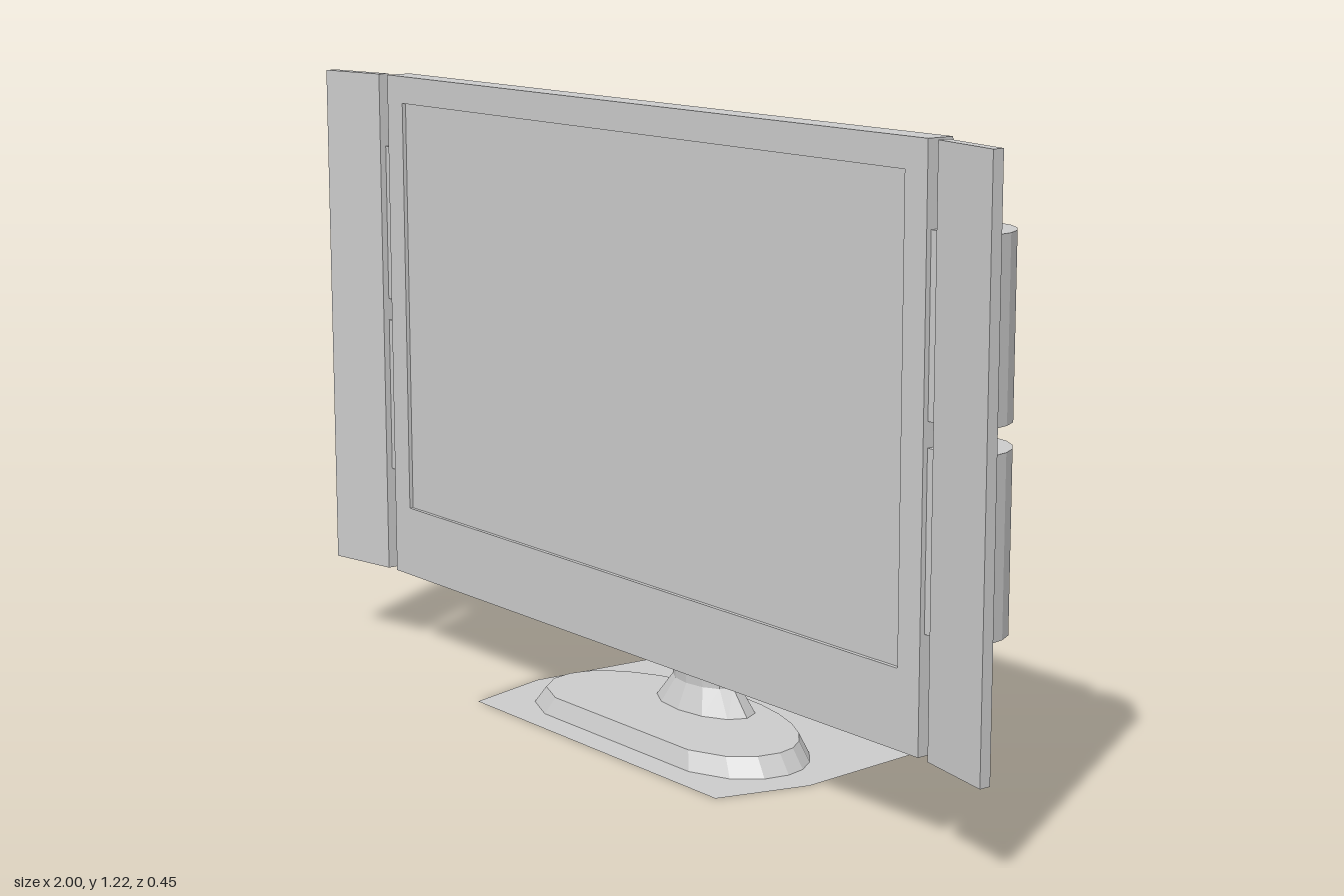
import * as THREE from 'three';

const material = new THREE.MeshStandardMaterial({ color: 0xcccccc, flatShading: true });
const thinMaterial = new THREE.MeshStandardMaterial({ color: 0xcccccc, flatShading: true, side: THREE.DoubleSide });

// Skin between rings of [x, y, z] points (counter-clockwise seen from the last ring), capped at both ends
function loft(rings) {
  const n = rings[0].length, pos = [];
  const tri = (a, b, c) => pos.push(...a, ...b, ...c);
  for (let r = 0; r < rings.length - 1; r++) {
    const a = rings[r], b = rings[r + 1];
    for (let i = 0; i < n; i++) {
      const j = (i + 1) % n;
      tri(a[i], a[j], b[j]);
      tri(a[i], b[j], b[i]);
    }
  }
  const first = rings[0], last = rings[rings.length - 1];
  for (let i = 1; i < n - 1; i++) {
    tri(first[0], first[i + 1], first[i]);
    tri(last[0], last[i], last[i + 1]);
  }
  const g = new THREE.BufferGeometry();
  g.setAttribute('position', new THREE.Float32BufferAttribute(pos, 3));
  g.computeVertexNormals();
  return g;
}

// Rectangle facing the back, for the tapered housings
const backRect = (w, y0, y1, z) => [[w, y0, z], [-w, y0, z], [-w, y1, z], [w, y1, z]];

// Plan outline [x, z] extruded upward from y0 to y1
function prism(points, y0, y1) {
  const shape = new THREE.Shape(points.map(([x, z]) => new THREE.Vector2(x, -z)));
  const g = new THREE.ExtrudeGeometry(shape, { depth: y1 - y0, bevelEnabled: false });
  return g.rotateX(-Math.PI / 2).translate(0, y0, 0);
}

function rectPath(path, w, y0, y1) {
  path.moveTo(-w, y0);
  path.lineTo(w, y0);
  path.lineTo(w, y1);
  path.lineTo(-w, y1);
  path.closePath();
  return path;
}

export function createModel() {
  const group = new THREE.Group();
  const add = (name, geometry, mat = material) => {
    const mesh = new THREE.Mesh(geometry, mat);
    mesh.name = name;
    group.add(mesh);
  };

  // Screen frame with slightly recessed display
  const frame = rectPath(new THREE.Shape(), 0.815, 0.17, 1.22);
  frame.holes.push(rectPath(new THREE.Path(), 0.76, 0.315, 1.165));
  add('screenFrame', new THREE.ExtrudeGeometry(frame, { depth: 0.055, bevelEnabled: false }).translate(0, 0, 0.075));
  add('display', new THREE.BoxGeometry(1.52, 0.85, 0.047).translate(0, 0.74, 0.0985));

  // Tapered rear housing and its raised centre
  add('rearHousing', loft([backRect(0.815, 0.26, 1.22, 0.075), backRect(0.79, 0.32, 1.135, 0.035)]));
  add('rearBulge', loft([backRect(0.43, 0.56, 0.975, 0.035), backRect(0.35, 0.615, 0.93, -0.03)]));

  // Angled side panels with two rounded pods behind each
  for (const side of [1, -1]) {
    const name = side > 0 ? 'left' : 'right';
    const panel = [[0.842, 0.11], [1, 0.14], [1, 0.163], [0.842, 0.133]];
    const pod = [];
    for (let i = 0; i <= 10; i++) {
      const t = (i / 10) * Math.PI;
      pod.push([0.82 + 0.107 * Math.cos(t), 0.075 - 0.105 * Math.sin(t)]);
    }
    pod.push([0.74, 0.12], [0.9, 0.12]);
    const mirrored = (pts) => pts.map(([x, z]) => [side * x, z]);
    add(name + 'SidePanel', prism(mirrored(panel), 0.17, 1.22));
    add(name + 'LowerPod', prism(mirrored(pod), 0.385, 0.705));
    add(name + 'UpperPod', prism(mirrored(pod), 0.75, 1.07));
  }

  // Curved neck: front z, front y, back z, back y, half width
  const neck = [
    [0.01, 0.033, -0.13, 0.033, 0.13],
    [-0.012, 0.085, -0.11, 0.085, 0.085],
    [-0.005, 0.2, -0.105, 0.18, 0.076],
    [0.008, 0.3, -0.09, 0.29, 0.065],
    [0.03, 0.36, -0.06, 0.37, 0.05],
    [0.05, 0.365, -0.025, 0.405, 0.04],
    [0.06, 0.38, 0.045, 0.405, 0.03],
  ];
  add('neck', loft(neck.map(([zf, yf, zb, yb, w]) => Array.from({ length: 12 }, (_, i) => {
    const t = (i / 12) * Math.PI * 2, k = (1 - Math.sin(t)) / 2;
    return [w * Math.cos(t), yb + (yf - yb) * k, zb + (zf - zb) * k];
  }))));

  // Oval foot, rounded at the back and flattened at the front
  const outline = [];
  for (let i = 0; i <= 14; i++) {
    const t = (i / 14) * Math.PI;
    outline.push([0.36 * Math.cos(t), 0.03 - 0.187 * Math.sin(t)]);
  }
  outline.push([-0.35, 0.08], [-0.31, 0.13], [-0.23, 0.163], [0.23, 0.163], [0.31, 0.13], [0.35, 0.08]);
  const footRing = (s, y) => outline.map(([x, z]) => [x * s, y, z * s]);
  add('foot', loft([footRing(1, 0), footRing(0.92, 0.035)]));

  // Thin six-sided ground sheet
  const sheet = [[-0.38, 0.22], [0.38, 0.22], [0.43, 0.04], [0.41, -0.23], [-0.41, -0.23], [-0.43, 0.04]];
  const sheetShape = new THREE.Shape(sheet.map(([x, z]) => new THREE.Vector2(x, -z)));
  add('groundSheet', new THREE.ShapeGeometry(sheetShape).rotateX(-Math.PI / 2), thinMaterial);

  return group;
}
